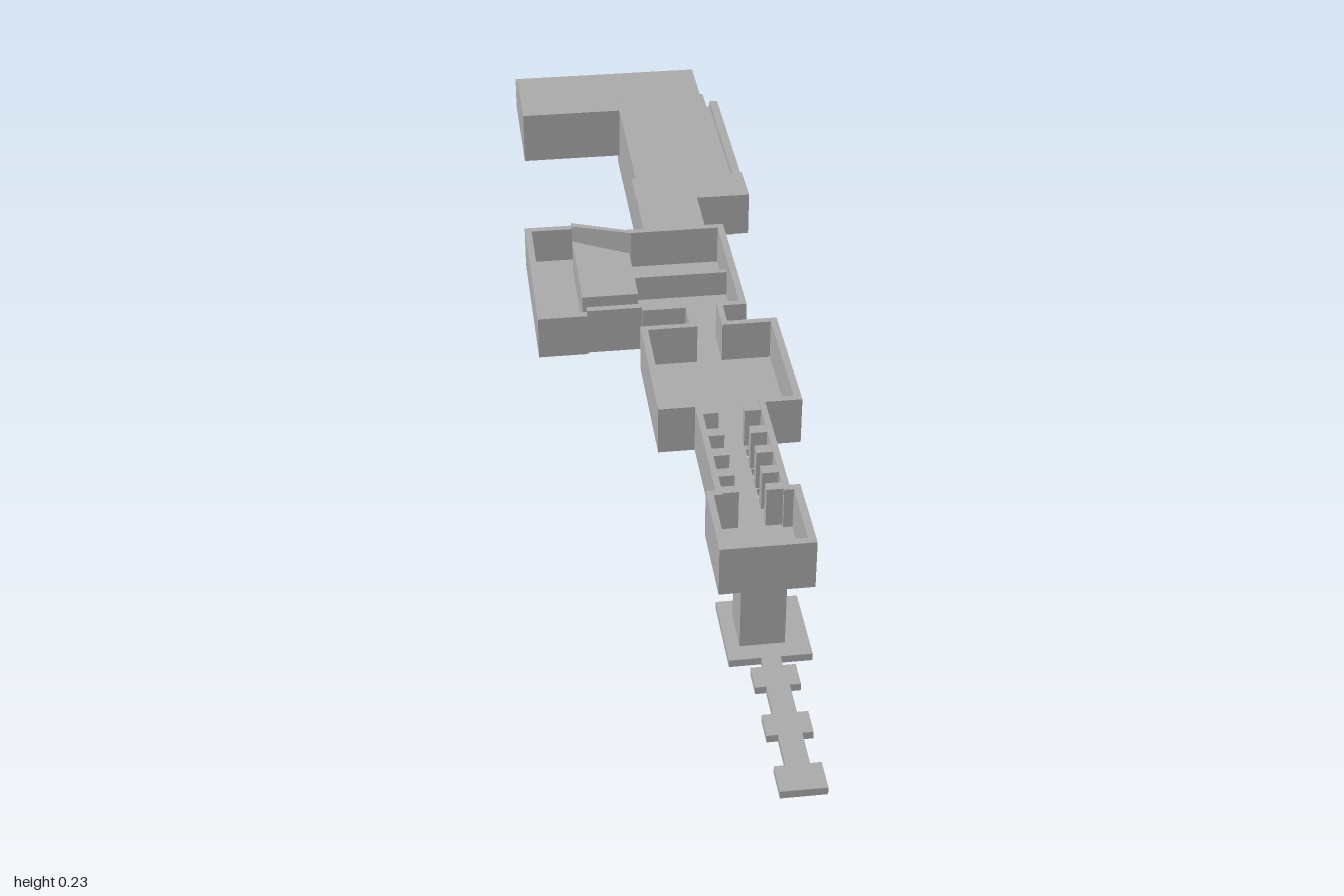
import * as THREE from 'three';

export function createModel() {
  const model = new THREE.Group();
  model.name = 'floorLayout';
  const grey = new THREE.MeshStandardMaterial({ color: 0xaaaaaa });
  grey.name = 'plain grey';

  const add = (name, geometry) => {
    const mesh = new THREE.Mesh(geometry, grey);
    mesh.name = name;
    model.add(mesh);
  };
  const box = (name, x0, x1, y0, y1, z0, z1) => {
    const g = new THREE.BoxGeometry(x1 - x0, y1 - y0, z1 - z0);
    add(name, g.translate((x0 + x1) / 2, (y0 + y1) / 2, (z0 + z1) / 2));
  };
  const toShape = (pts) => new THREE.Shape(pts.map(([a, b]) => new THREE.Vector2(a, b)));
  const rect = (x0, x1, z0, z1) => [[x0, z0], [x1, z0], [x1, z1], [x0, z1]];
  // Extrude a plan of [x, z] points from y0 up to y1
  const plan = (name, pts, y0, y1, holes = []) => {
    const flip = (p) => p.map(([x, z]) => [x, -z]);
    const shape = toShape(flip(pts));
    holes.forEach((h) => shape.holes.push(toShape(flip(h))));
    const g = new THREE.ExtrudeGeometry(shape, { depth: y1 - y0, bevelEnabled: false });
    add(name, g.rotateX(-Math.PI / 2).translate(0, y0, 0));
  };

  const base = 0.145, floorTop = 0.158, wallTop = 0.23;

  // Open rooms: outer and inner wall lines
  const outer = [
    [-0.135, 0.035], [-0.04, 0.035], [-0.04, 0.045], [0.035, 0.045], [0.035, 0.095],
    [-0.05, 0.095], [-0.05, 0.345], [0.01, 0.345], [0.01, 0.57], [-0.005, 0.57],
    [-0.005, 0.715], [0.142, 0.715], [0.142, 0.57], [0.125, 0.57], [0.125, 0.345],
    [0.186, 0.345], [0.186, 0.095], [0.1, 0.095], [0.1, 0.045], [0.142, 0.045],
    [0.142, -0.235], [-0.04, -0.235], [-0.135, -0.272],
  ];
  const inner = [
    [-0.135, -0.259], [-0.03, -0.222], [0.13, -0.222], [0.13, 0.033], [0.09, 0.033],
    [0.09, 0.107], [0.174, 0.107], [0.174, 0.333], [0.115, 0.333], [0.115, 0.582],
    [0.13, 0.582], [0.13, 0.703], [0.006, 0.703], [0.006, 0.582], [0.02, 0.582],
    [0.02, 0.333], [-0.038, 0.333], [-0.038, 0.107], [0.047, 0.107], [0.047, 0.033],
    [-0.03, 0.033], [-0.03, 0.022], [-0.135, 0.022],
  ];
  plan('roomWalls', [...outer, ...inner], floorTop, wallTop);

  // Side room, a little lower than the rest
  const sideOuter = [[-0.135, 0.04], [-0.221, 0.04], [-0.221, -0.275], [-0.135, -0.275]];
  const sideInner = [[-0.135, -0.262], [-0.209, -0.262], [-0.209, 0.026], [-0.135, 0.026]];
  plan('sideRoomWalls', [...sideOuter, ...sideInner], floorTop, 0.223);
  plan('sideRoomFloor', sideOuter, base, floorTop);
  plan('sideRoomBlock', [[-0.138, -0.215], [-0.04, -0.16], [-0.04, -0.02], [-0.138, -0.02]],
    floorTop, 0.224);
  box('roomDivider', -0.035, 0.135, floorTop, 0.205, -0.115, -0.105);
  box('smallCube', -0.142, -0.129, 0.115, 0.128, -0.161, -0.148);

  // Main floor with the alcove and shaft openings
  const shaft = rect(0.042, 0.09, 0.617, 0.662);
  const alcoves = [];
  for (const z of [0.373, 0.427, 0.481]) {
    alcoves.push(rect(0.021, 0.045, z, z + 0.028), rect(0.09, 0.114, z, z + 0.028));
  }
  plan('roomFloor', outer, base, floorTop, [shaft, ...alcoves]);

  // Partitions between the alcoves
  for (const [z0, z1] of [[0.345, 0.362], [0.404, 0.424], [0.458, 0.478], [0.512, 0.532], [0.558, 0.575]]) {
    box('alcovePartitionRight', 0.015, 0.046, floorTop, wallTop - 0.003, z0, z1);
    box('alcovePartitionLeft', 0.089, 0.12, floorTop, wallTop - 0.003, z0, z1);
  }

  // Shaft down to the lower landing
  plan('shaft', rect(0.034, 0.105, 0.612, 0.684), 0.013, base, [shaft]);
  plan('landing', rect(0.013, 0.143, 0.575, 0.715), 0, 0.013, [shaft]);

  // Stepped path in front of the landing
  const path = [[0.715, 0.735, 0.015], [0.735, 0.78, 0.035], [0.78, 0.84, 0.018],
    [0.84, 0.885, 0.035], [0.885, 0.948, 0.018], [0.948, 1, 0.035]];
  for (const [z0, z1, half] of path) {
    box('pathSlab', 0.078 - half, 0.078 + half, 0, 0.013, z0, z1);
  }

  // Roofed corridor sloping down to the rear halls, drawn as [-z, y]
  const slope = toShape([[0.222, 0.145], [0.28, 0.107], [0.41, 0.107], [0.41, 0.195],
    [0.29, 0.195], [0.235, 0.23], [0.222, 0.23]]);
  const corridor = new THREE.ExtrudeGeometry(slope, { depth: 0.115, bevelEnabled: false });
  add('slopedCorridor', corridor.rotateY(Math.PI / 2).translate(0.002, 0, 0));

  // Long hall with a chamfered, grooved left side
  box('hallFront', 0.002, 0.219, 0.107, 0.192, -0.495, -0.405);
  const section = toShape([[0.01, 0.053], [0.207, 0.053], [0.219, 0.066], [0.219, 0.18],
    [0.203, 0.18], [0.203, 0.168], [0.19, 0.168], [0.19, 0.192], [0.01, 0.192]]);
  const hall = new THREE.ExtrudeGeometry(section, { depth: 0.335, bevelEnabled: false });
  add('hall', hall.translate(0, 0, -0.83));
  box('hallRear', 0.01, 0.19, 0.107, 0.192, -0.842, -0.82);

  // Rear wing
  box('rearWing', -0.19, 0.19, 0.107, 0.172, -1, -0.84);
  box('rearWingBlock', -0.19, 0.006, 0.107, 0.21, -0.92, -0.752);

  return model;
}
